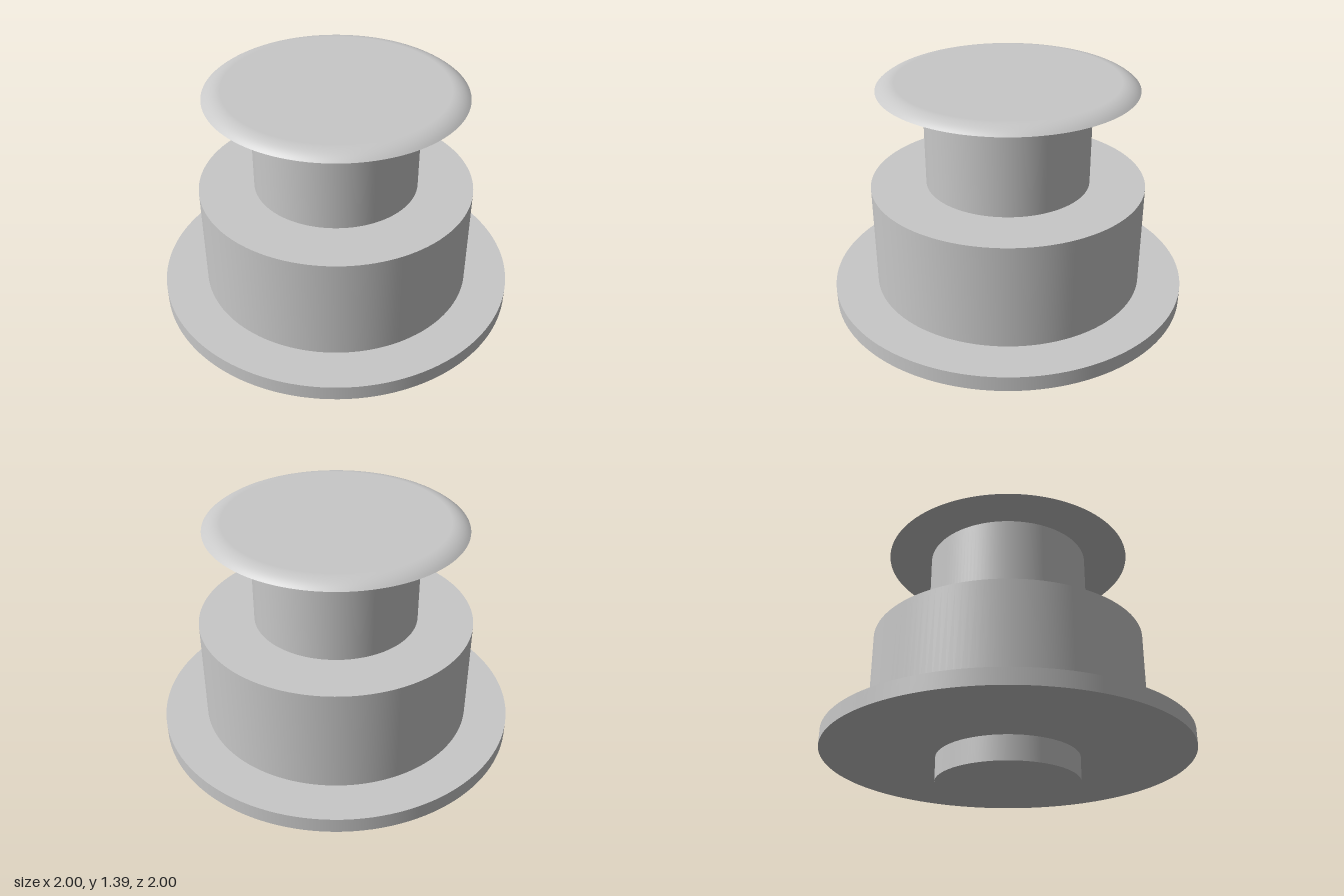
import * as THREE from 'three';

const SEGMENTS = 128;

export function createModel() {
  const group = new THREE.Group();
  const grey = new THREE.MeshStandardMaterial({ color: 0xc8c8c8 });
  grey.name = 'plain grey';

  const add = (name, geometry, parent = group) => {
    const mesh = new THREE.Mesh(geometry, grey);
    mesh.name = name;
    parent.add(mesh);
    return mesh;
  };

  // Stacked round sections: name, radius, bottom, top
  const sections = [
    ['foot', 0.39, 0, 0.135],
    ['flange', 1, 0.135, 0.22],
    ['body', 0.76, 0.22, 0.805],
    ['neck', 0.455, 0.805, 1.355],
  ];
  for (const [name, radius, bottom, top] of sections) {
    add(name, new THREE.CylinderGeometry(radius, radius, top - bottom, SEGMENTS))
      .position.y = (bottom + top) / 2;
  }

  // Cap: flat top that rolls over into a sharp rim
  const cap = new THREE.Group();
  cap.name = 'cap';
  cap.position.y = 1.355;
  group.add(cap);

  const flatRadius = 0.6, height = 0.038, bend = 0.15;
  const sweep = Math.asin((0.7 - flatRadius) / bend);
  const profile = [];
  for (let i = 0; i <= 10; i++) {
    const a = sweep * (1 - i / 10);
    profile.push(new THREE.Vector2(
      flatRadius + bend * Math.sin(a),
      Math.max(0, height - bend * (1 - Math.cos(a)))
    ));
  }
  profile.push(new THREE.Vector2(0, height));
  add('capTop', new THREE.LatheGeometry(profile, SEGMENTS), cap);
  add('capUnderside', new THREE.CircleGeometry(0.7, SEGMENTS).rotateX(Math.PI / 2), cap);

  return group;
}
